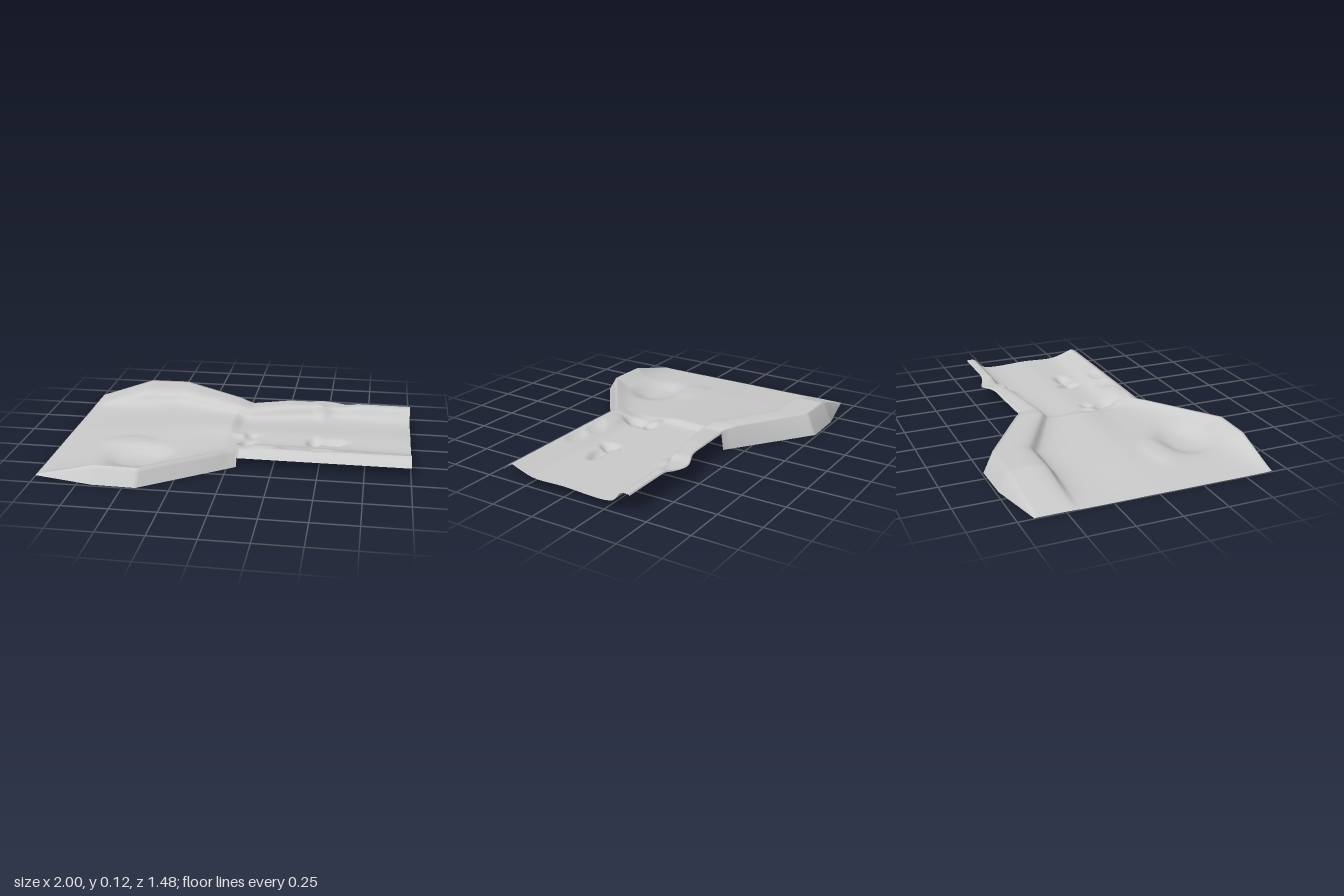
import * as THREE from 'three';

const material = new THREE.MeshStandardMaterial({ color: 0xcccccc, side: THREE.DoubleSide });

// Cross-sections along x. Each holds [z, y] from the back rim to the front rim:
// back rim, bank top, bank foot, mid floor, low floor, front bank, front rim
const sections = [
  [-1, [-0.66, 0.004], [-0.47, 0.004], [-0.41, 0.002], [0, 0.002], [0.28, 0.002], [0.58, 0.002], [0.655, 0.004]],
  [-0.67, [-0.685, 0.115], [-0.48, 0.1], [-0.42, 0.042], [0, 0.035], [0.24, 0.03], [0.58, 0.04], [0.68, 0.09]],
  [-0.43, [-0.685, 0.117], [-0.49, 0.107], [-0.425, 0.058], [0, 0.052], [0.22, 0.042], [0.57, 0.05], [0.685, 0.09]],
  [-0.04, [-0.425, 0.117], [-0.27, 0.113], [-0.225, 0.083], [-0.02, 0.08], [0.14, 0.062], [0.31, 0.066], [0.41, 0.09]],
  [0.01, [-0.39, 0.11], [-0.26, 0.107], [-0.215, 0.064], [0, 0.062], [0.15, 0.056], [0.27, 0.07], [0.37, 0.09]],
  [0.05, [-0.375, 0.103], [-0.255, 0.1], [-0.21, 0.06], [0, 0.06], [0.17, 0.056], [0.26, 0.078], [0.345, 0.092]],
  [0.27, [-0.4, 0.122], [-0.3, 0.117], [-0.25, 0.062], [0, 0.06], [0.18, 0.058], [0.26, 0.084], [0.34, 0.1]],
  [0.55, [-0.4, 0.121], [-0.35, 0.117], [-0.3, 0.062], [0, 0.06], [0.18, 0.058], [0.26, 0.082], [0.34, 0.1]],
  [1, [-0.4, 0.12], [-0.355, 0.116], [-0.3, 0.062], [0, 0.06], [0.19, 0.058], [0.26, 0.075], [0.335, 0.102]],
];

// Bumps and hollows: x, z, radius x, radius z, height
const bumps = [
  [-0.5, 0.4, 0.17, 0.13, -0.036], [-0.6, 0.2, 0.14, 0.08, 0.012],
  [0.085, 0.18, 0.04, 0.07, -0.026], [0.03, 0.07, 0.04, 0.03, 0.012],
  [0.1, 0.07, 0.035, 0.03, -0.016], [0.455, 0.1, 0.035, 0.055, -0.028],
  [0.56, 0.1, 0.08, 0.035, -0.028], [0.18, 0.28, 0.08, 0.05, 0.01],
  [0.34, 0.28, 0.06, 0.04, -0.008], [0.5, 0.3, 0.07, 0.035, -0.01],
  [0.57, -0.4, 0.09, 0.09, -0.015], [0.47, -0.3, 0.04, 0.04, 0.012],
];

// Linear lookup in rows of [x, a, b, ...]
function lookup(rows, x) {
  let i = 0;
  while (i < rows.length - 2 && x > rows[i + 1][0]) i++;
  const t = (x - rows[i][0]) / (rows[i + 1][0] - rows[i][0]);
  return rows[i].map((v, k) => THREE.MathUtils.lerp(v, rows[i + 1][k], t));
}

const flatSections = sections.map((row) => row.flat());

// Ground from rim to rim at one x
function groundRow(x) {
  const flat = lookup(flatSections, x);
  const points = [];
  for (let k = 1; k < flat.length; k += 2) points.push(new THREE.Vector3(x, flat[k + 1], flat[k]));
  // the back rim bulges outward halfway along the channel
  points[0].z -= 0.045 * Math.exp(-(((x - 0.53) / 0.09) ** 2));
  const row = new THREE.CatmullRomCurve3(points).getPoints(60);
  for (const p of row) {
    for (const [bx, bz, rx, rz, h] of bumps) {
      const d = ((x - bx) / rx) ** 2 + ((p.z - bz) / rz) ** 2;
      p.y += h * Math.exp(-d * d);
    }
    p.y = Math.max(p.y, 0);
  }
  return row;
}

// Wide mouth: outer slopes run down to the base on both sides
const footLine = [[-1, 0.662], [-0.67, 0.735], [-0.43, 0.74], [0.05, 0.39]];
function mouthRow(x) {
  const row = groundRow(x);
  const z = lookup(footLine, x)[1];
  const slope = new THREE.LineCurve3(row.at(-1), new THREE.Vector3(x, 0, z));
  return [new THREE.Vector3(x, 0, -z), ...row, ...slope.getPoints(4).slice(1)];
}

// Narrow channel: a rounded lip along the front, a thin edge at the back
function channelRow(x) {
  const row = groundRow(x);
  const rim = row.at(-1);
  const edge = new THREE.Vector3(x, 0.057, 0.4);
  const middle = rim.clone().lerp(edge, 0.5);
  middle.y += 0.007;
  const lip = new THREE.CatmullRomCurve3([rim, middle, edge]);
  const backEdge = row[0].clone().add(new THREE.Vector3(0, -0.008, -0.003));
  return [backEdge, ...row, ...lip.getPoints(4).slice(1)];
}

// x positions that include every section, so corners stay in place
function stations(from, to) {
  const inside = sections.map((s) => s[0]).filter((x) => x >= from && x <= to);
  const xs = [];
  for (let i = 0; i < inside.length - 1; i++) {
    const n = Math.ceil((inside[i + 1] - inside[i]) / 0.015);
    for (let k = 0; k < n; k++) xs.push(THREE.MathUtils.lerp(inside[i], inside[i + 1], k / n));
  }
  xs.push(to);
  return xs;
}

// Smooth surface through rows of points; every row runs from back to front
function loft(rows) {
  const n = rows[0].length;
  const index = [];
  for (let i = 0; i < rows.length - 1; i++) {
    for (let j = 0; j < n - 1; j++) {
      const a = i * n + j;
      index.push(a, a + 1, a + n, a + 1, a + n + 1, a + n);
    }
  }
  const geometry = new THREE.BufferGeometry().setFromPoints(rows.flat());
  geometry.setIndex(index);
  geometry.computeVertexNormals();
  return geometry;
}

export function createModel() {
  const group = new THREE.Group();
  group.name = 'valleyTerrain';

  // The mouth's outer slopes end abruptly where the channel begins
  const rows = [
    ...stations(-1, 0.05).map(mouthRow),
    channelRow(0.053),
    ...stations(0.05, 1).slice(1).map(channelRow),
  ];
  const ground = new THREE.Mesh(loft(rows), material);
  ground.name = 'valleyGround';
  group.add(ground);
  return group;
}
